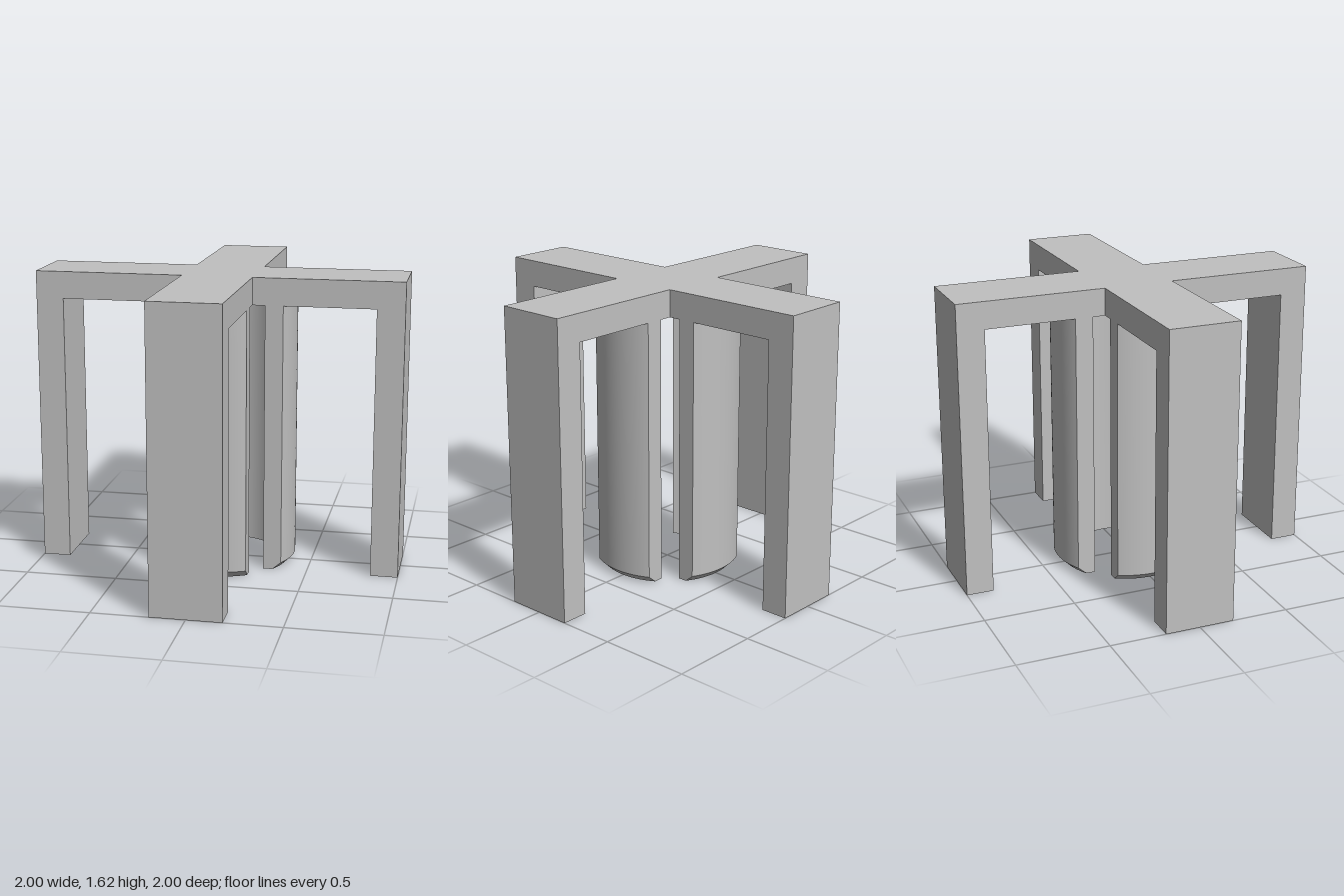
import * as THREE from 'three';
import { toCreasedNormals } from 'three/addons/utils/BufferGeometryUtils.js';

const W = 0.191;          // half width of arms
const TOP = 1.62, UNDER = 1.472;

// Segment of a tube clipped to the arm width, with a chamfered lower outer edge
function prongGeometry() {
  const inner = 0.322, n = 24;
  const layers = [[0, 0.364], [0.04, 0.405], [UNDER, 0.405]]; // [y, outer radius]
  const count = 2 * (n + 1);
  const pos = [], index = [];
  const add = (r, y, t) => {
    const a = Math.asin(W / r) * t;
    pos.push(r * Math.cos(a), y, r * Math.sin(a));
  };
  for (const [y, outer] of layers) {
    for (let i = 0; i <= n; i++) add(outer, y, -1 + 2 * i / n);
    for (let i = n; i >= 0; i--) add(inner, y, -1 + 2 * i / n);
  }
  // walls
  for (let l = 0; l < layers.length - 1; l++) {
    for (let i = 0; i < count; i++) {
      const a = l * count + i, b = l * count + (i + 1) % count;
      index.push(a, a + count, b + count, a, b + count, b);
    }
  }
  // bottom and top rims
  const top = (layers.length - 1) * count;
  for (let i = 0; i < n; i++) {
    const o0 = i, o1 = i + 1, i0 = count - 1 - i, i1 = count - 2 - i;
    index.push(o0, o1, i1, o0, i1, i0);
    index.push(top + o0, top + i1, top + o1, top + o0, top + i0, top + i1);
  }
  const g = new THREE.BufferGeometry();
  g.setAttribute('position', new THREE.Float32BufferAttribute(pos, 3));
  g.setIndex(index);
  return toCreasedNormals(g, 0.5);
}

// L-shaped arm running out from the hub and down to the ground
function armGeometry() {
  const leg = 0.85;
  const profile = new THREE.Shape([
    [W, UNDER], [leg, UNDER], [leg, 0], [1, 0], [1, TOP], [W, TOP],
  ].map(([x, y]) => new THREE.Vector2(x, y)));
  const g = new THREE.ExtrudeGeometry(profile, { depth: 2 * W, bevelEnabled: false });
  return g.translate(0, 0, -W);
}

export function createModel() {
  const model = new THREE.Group();
  model.name = 'crossStand';
  const grey = new THREE.MeshStandardMaterial({ color: 0xc0c0c0 });
  grey.name = 'grey';

  const add = (name, geometry) => {
    const mesh = new THREE.Mesh(geometry, grey);
    mesh.name = name;
    model.add(mesh);
    return mesh;
  };

  // Centre of the cross
  add('hub', new THREE.BoxGeometry(2 * W, TOP - UNDER, 2 * W)).position.y = (TOP + UNDER) / 2;

  // Four arms and four socket prongs
  const arm = armGeometry(), prong = prongGeometry();
  ['left', 'back', 'right', 'front'].forEach((side, k) => {
    add(side + 'Arm', arm).rotation.y = k * Math.PI / 2;
    add(side + 'Prong', prong).rotation.y = k * Math.PI / 2;
  });
  return model;
}
